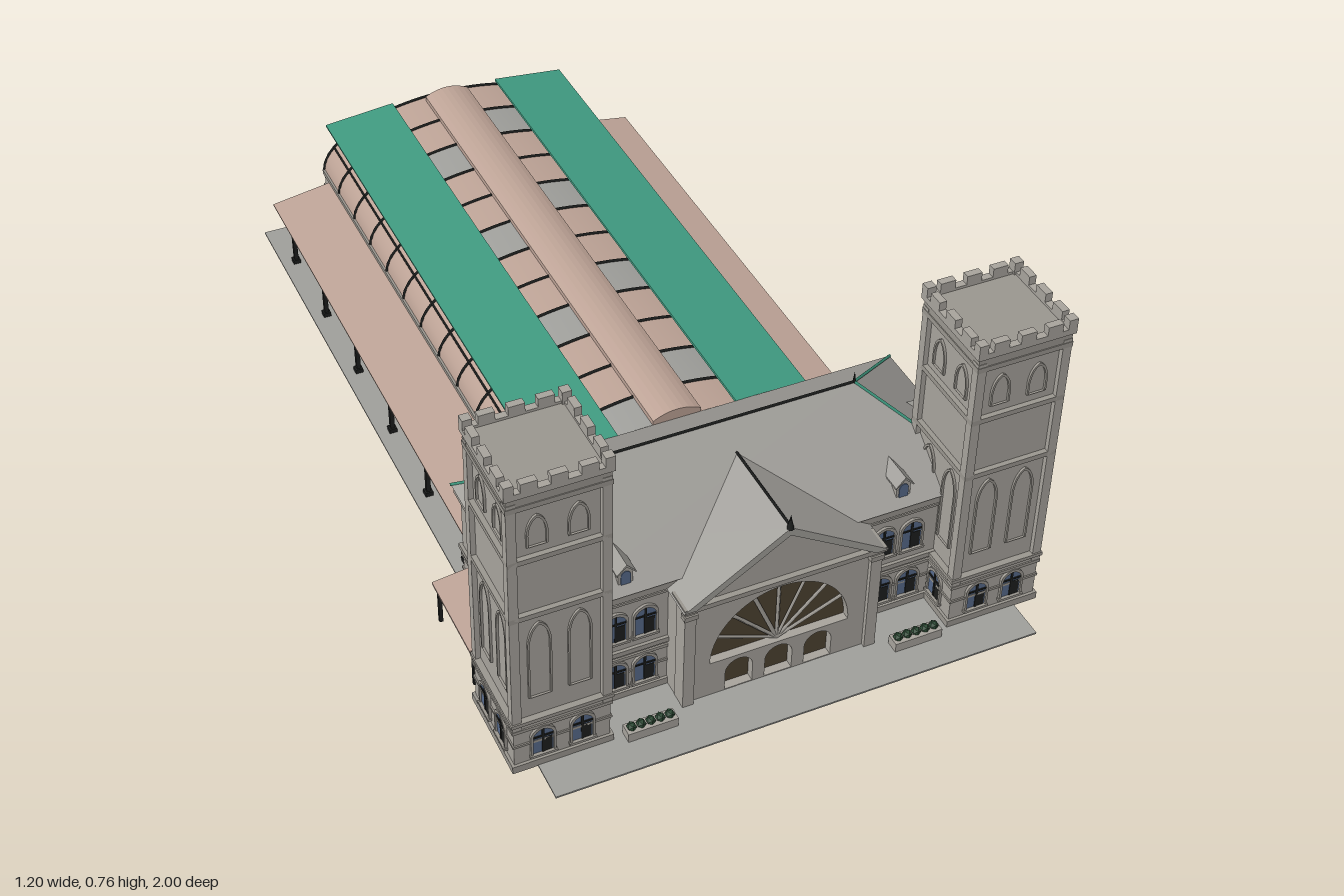
import * as THREE from 'three';

const mat = (name, color, side = THREE.FrontSide) => {
  const m = new THREE.MeshStandardMaterial({ color, side });
  m.name = name;
  return m;
};

export function createModel() {
  const stone = mat('stone', 0xa7a39c), trim = mat('stoneTrim', 0x9a968f), roofMat = mat('roofSlate', 0xa19f9a, THREE.DoubleSide);
  const green = mat('greenCopper', 0x3f9a80, THREE.DoubleSide), pink = mat('pinkPanel', 0xbda396, THREE.DoubleSide);
  const black = mat('blackIron', 0x1c1e1d), blue = mat('blueGlass', 0x566a8a), bronze = mat('bronze', 0x4d4231);
  const hedge = mat('hedge', 0x2c4a34), paving = mat('paving', 0x9f9f9b);
  const root = new THREE.Group();
  root.name = 'station';

  // ---------- helpers ----------
  const add = (p, name, geo, m, x = 0, y = 0, z = 0) => {
    const o = new THREE.Mesh(geo, m);
    o.name = name;
    o.position.set(x, y, z);
    p.add(o);
    return o;
  };
  // box given by its x centre, bottom y and z centre
  const box = (p, name, m, w, h, d, x, y, z) => add(p, name, new THREE.BoxGeometry(w, h, d), m, x, y + h / 2, z);
  const group = (p, name, x = 0, y = 0, z = 0, ry = 0) => {
    const g = new THREE.Group();
    g.name = name;
    g.position.set(x, y, z);
    g.rotation.y = ry;
    p.add(g);
    return g;
  };
  // arched outline, rise = height of the arch head
  const arch = (w, h, rise, C = THREE.Shape, x = 0) => {
    const s = new C();
    s.moveTo(x - w / 2, 0);
    s.lineTo(x + w / 2, 0);
    s.lineTo(x + w / 2, h - rise);
    s.quadraticCurveTo(x + w * 0.42, h - rise * 0.2, x, h);
    s.quadraticCurveTo(x - w * 0.42, h - rise * 0.2, x - w / 2, h - rise);
    s.closePath();
    return s;
  };
  const poly = (pts) => new THREE.Shape(pts.map(([x, y]) => new THREE.Vector2(x, y)));
  const extrude = (s, depth) => new THREE.ExtrudeGeometry(s, { depth, bevelEnabled: false, curveSegments: 8 });
  const archFrame = (w, h, rise, t, depth) => {
    const s = arch(w + 2 * t, h + t, rise + t / 2);
    s.holes.push(arch(w, h - 0.002, rise, THREE.Path));
    return extrude(s, depth);
  };
  const bar = (p, name, m, a, b, r) => add(p, name,
    new THREE.TubeGeometry(new THREE.LineCurve3(new THREE.Vector3(...a), new THREE.Vector3(...b)), 1, r, 4), m);
  // glazed arched window facing +z of its group
  const glazing = (p, x, y, z, ry, w = 0.046, h = 0.075) => {
    const g = group(p, 'window', x, y, z, ry);
    add(g, 'pane', extrude(arch(w, h, 0.02), 0.002), blue);
    box(g, 'mullion', black, 0.005, h, 0.002, 0, 0, 0.003);
    box(g, 'transom', black, w, 0.004, 0.002, 0, h * 0.62, 0.003);
    box(g, 'lowerSash', black, w * 0.4, h * 0.55, 0.001, w * 0.24, 0, 0.0025);
    add(g, 'surround', archFrame(w, h, 0.02, 0.005, 0.006), trim);
    box(g, 'sill', trim, w + 0.014, 0.006, 0.012, 0, -0.006, 0.003);
  };

  // ---------- ground ----------
  box(root, 'hallPaving', paving, 1, 0.004, 1.39, 0, 0, -0.305);
  box(root, 'forecourt', paving, 1.09, 0.004, 0.2, 0, 0, 0.9);
  box(root, 'baseFloor', green, 1.02, 0.004, 0.41, 0, 0, 0.595);

  // ---------- towers ----------
  for (const s of [-1, 1]) {
    const t = group(root, 'tower', s * 0.49, 0, 0.802);
    box(t, 'towerCore', stone, 0.19, 0.72, 0.19, 0, 0.002, 0);
    box(t, 'towerGroundStorey', stone, 0.206, 0.11, 0.206, 0, 0.002, 0);
    [[0.002, 0.018, 0.218], [0.068, 0.006, 0.212], [0.108, 0.008, 0.214], [0.128, 0.009, 0.218], [0.41, 0.012, 0.212],
      [0.555, 0.012, 0.212], [0.69, 0.012, 0.214], [0.702, 0.03, 0.21]]
      .forEach(([y, h, w]) => box(t, 'towerBand', trim, w, h, w, 0, y, 0));
    box(t, 'towerPlinthBlock', stone, 0.208, 0.024, 0.208, 0, 0.108, 0);
    for (let k = 0; k < 4; k++) {
      const f = group(t, 'towerFace', 0, 0, 0, k * Math.PI / 2);
      box(f, 'cornerPier', stone, 0.02, 0.6, 0.02, 0.096, 0.11, 0.096);
      box(f, 'parapet', stone, 0.22, 0.014, 0.016, 0, 0.724, 0.102);
      box(f, 'cornerMerlon', stone, 0.02, 0.03, 0.02, 0.1, 0.73, 0.1);
      for (const x of [-0.06, 0, 0.06]) box(f, 'merlon', stone, 0.034, 0.028, 0.016, x, 0.73, 0.102);
      for (const x of [-0.042, 0.042]) {
        add(f, 'blindLancet', archFrame(0.042, 0.195, 0.05, 0.004, 0.005), trim, x, 0.19, 0.095);
        add(f, 'belfryLancet', archFrame(0.036, 0.072, 0.04, 0.004, 0.005), trim, x, 0.588, 0.095);
        glazing(f, x, 0.036, 0.103, 0, 0.044, 0.07);
      }
    }
  }

  // ---------- main block ----------
  const block = group(root, 'mainBlock');
  box(block, 'walls', stone, 1, 0.29, 0.41, 0, 0.002, 0.605);
  [[0.002, 0.018, 0.012], [0.068, 0.006, 0.006], [0.108, 0.008, 0.008], [0.126, 0.012, 0.014], [0.265, 0.006, 0.01], [0.28, 0.02, 0.022]]
    .forEach(([y, h, e]) => box(block, 'wallBand', trim, 1 + e, h, 0.41 + e, 0, y, 0.605));
  for (const s of [-1, 1]) {
    for (const x of [0.27, 0.335]) {
      glazing(block, s * x, 0.036, 0.811, 0, 0.046, 0.07);
      glazing(block, s * x, 0.168, 0.811, 0);
    }
    for (const z of [0.47, 0.54, 0.65]) {
      if (z !== 0.47) glazing(block, s * 0.501, 0.168, z, s * Math.PI / 2);
      glazing(block, s * 0.501, 0.036, z, s * Math.PI / 2, 0.046, 0.07);
    }
    // side entrance canopy
    const c = group(root, 'sideCanopy');
    const plate = box(c, 'canopyRoof', pink, 0.09, 0.008, 0.215, s * 0.545, 0.106, 0.558);
    plate.rotation.z = -s * 0.12;
    box(c, 'canopyEdge', black, 0.006, 0.008, 0.215, s * 0.583, 0.1, 0.558);
    for (const z of [0.46, 0.655]) box(c, 'canopyPost', black, 0.008, 0.105, 0.008, s * 0.578, 0, z);
    // planter between tower and portico
    box(root, 'planter', stone, 0.11, 0.024, 0.03, s * 0.303, 0.002, 0.915);
    for (let i = 0; i < 5; i++)
      add(root, 'shrub', new THREE.IcosahedronGeometry(0.011, 0), hedge, s * (0.261 + i * 0.021), 0.03, 0.915);
  }

  // hipped roof
  const A = [-0.515, 0.3, 0.825], B = [0.515, 0.3, 0.825], C = [0.515, 0.3, 0.385], D = [-0.515, 0.3, 0.385];
  const L = [-0.295, 0.47, 0.605], R = [0.295, 0.47, 0.605];
  const hip = new THREE.BufferGeometry();
  hip.setAttribute('position', new THREE.Float32BufferAttribute(
    [A, B, R, A, R, L, B, C, R, C, D, L, C, L, R, D, A, L].flat(), 3));
  hip.computeVertexNormals();
  add(block, 'hippedRoof', hip, roofMat);
  bar(block, 'ridge', black, L, R, 0.004);
  [[L, A], [L, D], [R, B], [R, C]].forEach(([a, b]) => bar(block, 'hipFlashing', green, a, b, 0.004));
  for (const p of [L, R]) add(block, 'ridgeSpike', new THREE.ConeGeometry(0.004, 0.03, 6), black, p[0], 0.482, p[2]);

  // dormers
  const dormer = (x, z, ry) => {
    const g = group(block, 'dormer', x, 0.308, z, ry);
    add(g, 'dormerBody', extrude(poly([[-0.016, 0], [0.016, 0], [0.016, 0.036], [0, 0.054], [-0.016, 0.036]]), 0.07), stone, 0, 0, -0.07);
    add(g, 'dormerRoof', extrude(poly([[-0.021, 0.033], [0, 0.054], [0.021, 0.033], [0.021, 0.037], [0, 0.06], [-0.021, 0.037]]), 0.08), roofMat, 0, 0, -0.075);
    add(g, 'dormerPane', extrude(arch(0.021, 0.034, 0.01), 0.002), blue, 0, 0.006, 0);
  };
  for (const s of [-1, 1]) {
    dormer(s * 0.31, 0.805, 0);
    dormer(s * 0.495, 0.605, s * Math.PI / 2);
  }

  // ---------- portico ----------
  const portico = group(root, 'portico');
  const front = poly([[-0.22, 0.002], [0.22, 0.002], [0.22, 0.28], [-0.22, 0.28]]);
  const fan = new THREE.Path();
  fan.absarc(0, 0.094, 0.157, 0, Math.PI, false);
  fan.closePath();
  front.holes.push(fan);
  for (const x of [-0.09, 0, 0.09]) {
    const d = new THREE.Path();
    d.moveTo(x - 0.031, 0.006);
    d.lineTo(x + 0.031, 0.006);
    d.lineTo(x + 0.031, 0.052);
    d.absarc(x, 0.052, 0.031, 0, Math.PI, false);
    d.closePath();
    front.holes.push(d);
  }
  add(portico, 'porticoFront', new THREE.ExtrudeGeometry(front, { depth: 0.03, bevelEnabled: false, curveSegments: 20 }), stone, 0, 0, 0.85);
  box(portico, 'porticoBody', stone, 0.438, 0.276, 0.07, 0, 0.002, 0.82);
  box(portico, 'bronzeGlazing', bronze, 0.34, 0.25, 0.006, 0, 0.004, 0.858);
  for (let i = 1; i < 8; i++) {
    const a = i * Math.PI / 8;
    bar(portico, 'fanSpoke', stone, [0, 0.094, 0.866], [0.157 * Math.cos(a), 0.094 + 0.157 * Math.sin(a), 0.866], 0.0045);
  }
  box(portico, 'porticoCornice', trim, 0.45, 0.012, 0.06, 0, 0.274, 0.868);
  for (const s of [-1, 1]) {
    box(portico, 'pilaster', stone, 0.025, 0.27, 0.014, s * 0.208, 0.002, 0.883);
    box(portico, 'pilasterCap', trim, 0.03, 0.012, 0.018, s * 0.208, 0.25, 0.885);
  }
  add(portico, 'gable', extrude(poly([[-0.21, 0.28], [0.21, 0.28], [0, 0.415]]), 0.225), stone, 0, 0, 0.66);
  add(portico, 'gableRoof', extrude(poly([[-0.228, 0.28], [-0.2, 0.28], [0, 0.406], [0.2, 0.28], [0.228, 0.28], [0, 0.426]]), 0.24), roofMat, 0, 0, 0.66);
  bar(portico, 'gableRidge', black, [0, 0.427, 0.66], [0, 0.427, 0.9], 0.003);
  add(portico, 'gableFinial', new THREE.ConeGeometry(0.008, 0.035, 8), black, 0, 0.438, 0.895);

  // ---------- train hall ----------
  const hall = group(root, 'trainHall');
  const rx = 0.33, ry = 0.15, y0 = 0.15, zBack = -0.998, zFront = 0.395;
  const at = (x) => y0 + ry * Math.sqrt(Math.max(0, 1 - (x / rx) ** 2));
  // curved strip of the vault between two x positions
  const strip = (name, m, xa, xb, za, zb) => {
    const g = new THREE.PlaneGeometry(1, 1, 6, 1), p = g.attributes.position;
    const ta = Math.acos(xa / rx), tb = Math.acos(xb / rx);
    for (let i = 0; i < p.count; i++) {
      const t = ta + (tb - ta) * (p.getX(i) + 0.5);
      p.setXYZ(i, rx * Math.cos(t), y0 + ry * Math.sin(t), p.getY(i) < 0 ? zb : za);
    }
    g.computeVertexNormals();
    add(hall, name, g, m);
  };
  const ribs = [zBack];
  for (let i = 0; i < 11; i++) ribs.push(-0.884 + 0.1165 * i);
  ribs.push(zFront);
  const curve = new THREE.CatmullRomCurve3(Array.from({ length: 17 }, (_, i) =>
    new THREE.Vector3(rx * Math.cos(i * Math.PI / 16), y0 + ry * Math.sin(i * Math.PI / 16), 0)));
  const ribGeo = new THREE.TubeGeometry(curve, 32, 0.0045, 4);
  ribs.forEach((z, i) => {
    add(hall, 'vaultRib', ribGeo, black, 0, 0, z);
    if (!i) return;
    const za = ribs[i - 1];
    for (const s of [-1, 1]) {
      strip('lowerGlazing', pink, s * rx, s * 0.255, za, z);
      strip('upperGlazing', i % 2 ? paving : pink, s * 0.255, s * 0.19, za, z);
      strip('crownGlazing', (i + (s > 0)) % 3 ? pink : paving, s * 0.15, s * 0.04, za, z);
    }
  });
  paving.side = THREE.DoubleSide;
  const len = zFront - zBack, zc = (zFront + zBack) / 2;
  for (const s of [-1, 1]) {
    for (const x of [0.3, 0.255, 0.19]) bar(hall, 'purlin', black, [s * x, at(x), zBack], [s * x, at(x), zFront], 0.003);
    const wing = box(hall, 'greenRoofWing', green, 0.179, 0.006, len, s * 0.2275, 0.287, zc);
    wing.rotation.z = -s * 0.1;

    // side walls and windows
    box(hall, 'hallWall', stone, 0.02, 0.15, len, s * 0.32, 0.002, zc);
    [[0.002, 0.016], [0.062, 0.005], [0.105, 0.007], [0.142, 0.012]]
      .forEach(([y, h]) => box(hall, 'hallWallBand', trim, 0.03, h, len, s * 0.32, y, zc));
    for (let i = 0; i < 12; i++) glazing(hall, s * 0.331, 0.034, 0.32 - i * 0.112, s * Math.PI / 2, 0.042, 0.066);

    // platform canopy
    const canopy = box(hall, 'platformCanopy', pink, 0.158, 0.006, 1.31, s * 0.405, 0.127, -0.295);
    canopy.rotation.z = -s * 0.16;
    box(hall, 'canopyBeam', black, 0.006, 0.009, 1.31, s * 0.468, 0.111, -0.295);
    for (let i = 0; i < 6; i++) {
      const z = 0.32 - 0.234 * i;
      box(hall, 'platformPost', black, 0.01, 0.112, 0.01, s * 0.465, 0.003, z);
      box(hall, 'postBase', black, 0.018, 0.012, 0.018, s * 0.465, 0.003, z);
      bar(hall, 'canopyBracket', black, [s * 0.465, 0.112, z], [s * 0.335, 0.135, z], 0.003);
    }
  }

  // glazed end screen
  const end = new THREE.Shape();
  end.absellipse(0, y0, rx, ry, 0, Math.PI, false);
  end.closePath();
  add(hall, 'endScreen', new THREE.ShapeGeometry(end, 24), pink, 0, 0, zBack + 0.004);
  for (let i = -4; i <= 4; i++) bar(hall, 'endMullion', black, [i * 0.065, y0, zBack], [i * 0.065, at(i * 0.065), zBack], 0.003);
  box(hall, 'endBeam', black, 0.66, 0.007, 0.007, 0, y0 - 0.004, zBack + 0.003);

  // raised ridge vent
  const vent = new THREE.Shape();
  vent.moveTo(-0.056, 0.298);
  vent.lineTo(0.056, 0.298);
  vent.lineTo(0.056, 0.31);
  vent.quadraticCurveTo(0, 0.341, -0.056, 0.31);
  vent.closePath();
  add(hall, 'ridgeVent', extrude(vent, 1.365), pink, 0, 0, -0.98);
  return root;
}
